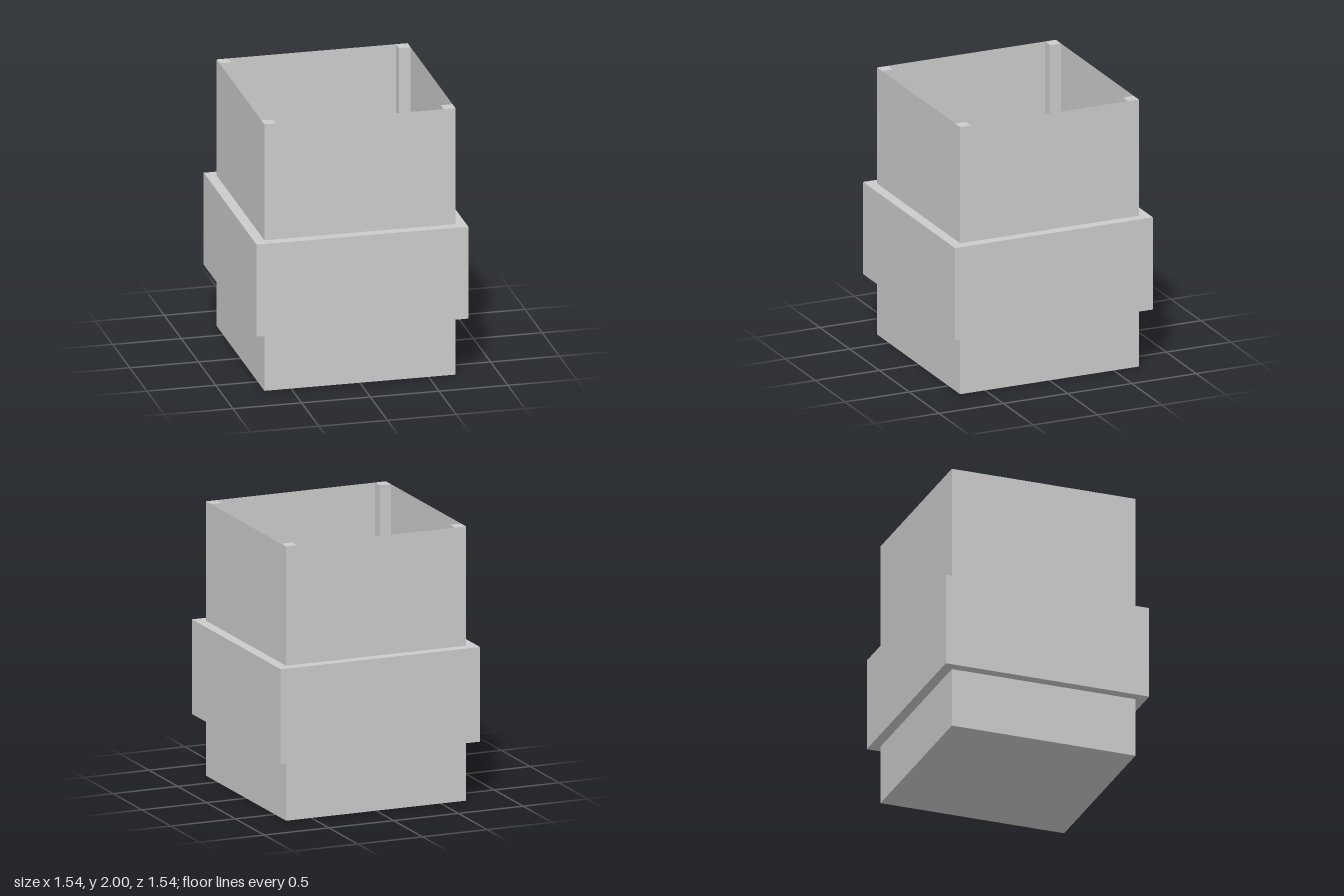
import * as THREE from 'three';

const HALF = 0.695;   // half width of the body
const FLOOR = 1.39;   // height of the tray floor
const TOP = 2;
const POST = 0.085;   // side of a corner post

export function createModel() {
  const model = new THREE.Group();
  const grey = new THREE.MeshStandardMaterial({ color: 0xcccccc, flatShading: true });
  const sheet = new THREE.MeshStandardMaterial({ color: 0xcccccc, flatShading: true, side: THREE.DoubleSide });

  const add = (name, geometry, material, x, y, z) => {
    const mesh = new THREE.Mesh(geometry, material);
    mesh.name = name;
    mesh.position.set(x, y, z);
    model.add(mesh);
    return mesh;
  };

  // solid lower body; its upper face is the tray floor
  add('body', new THREE.BoxGeometry(2 * HALF, FLOOR, 2 * HALF), grey, 0, FLOOR / 2, 0);

  // wide band around the body
  add('collar', new THREE.BoxGeometry(1.54, 0.69, 1.54), grey, 0, 0.785, 0);

  // corner posts rising from the floor
  const rise = TOP - FLOOR;
  const midY = FLOOR + rise / 2;
  const offset = HALF - POST / 2;
  for (const sx of [-1, 1]) {
    for (const sz of [-1, 1]) {
      add('cornerPost', new THREE.BoxGeometry(POST, rise, POST), grey, sx * offset, midY, sz * offset);
    }
  }

  // thin wall panels between the posts, flush with the outer faces
  const span = 2 * (HALF - POST);
  ['front', 'left', 'back', 'right'].forEach((side, i) => {
    const a = i * Math.PI / 2;
    const panel = add(side + 'Wall', new THREE.PlaneGeometry(span, rise), sheet,
      HALF * Math.sin(a), midY, HALF * Math.cos(a));
    panel.rotation.y = a;
  });

  return model;
}
